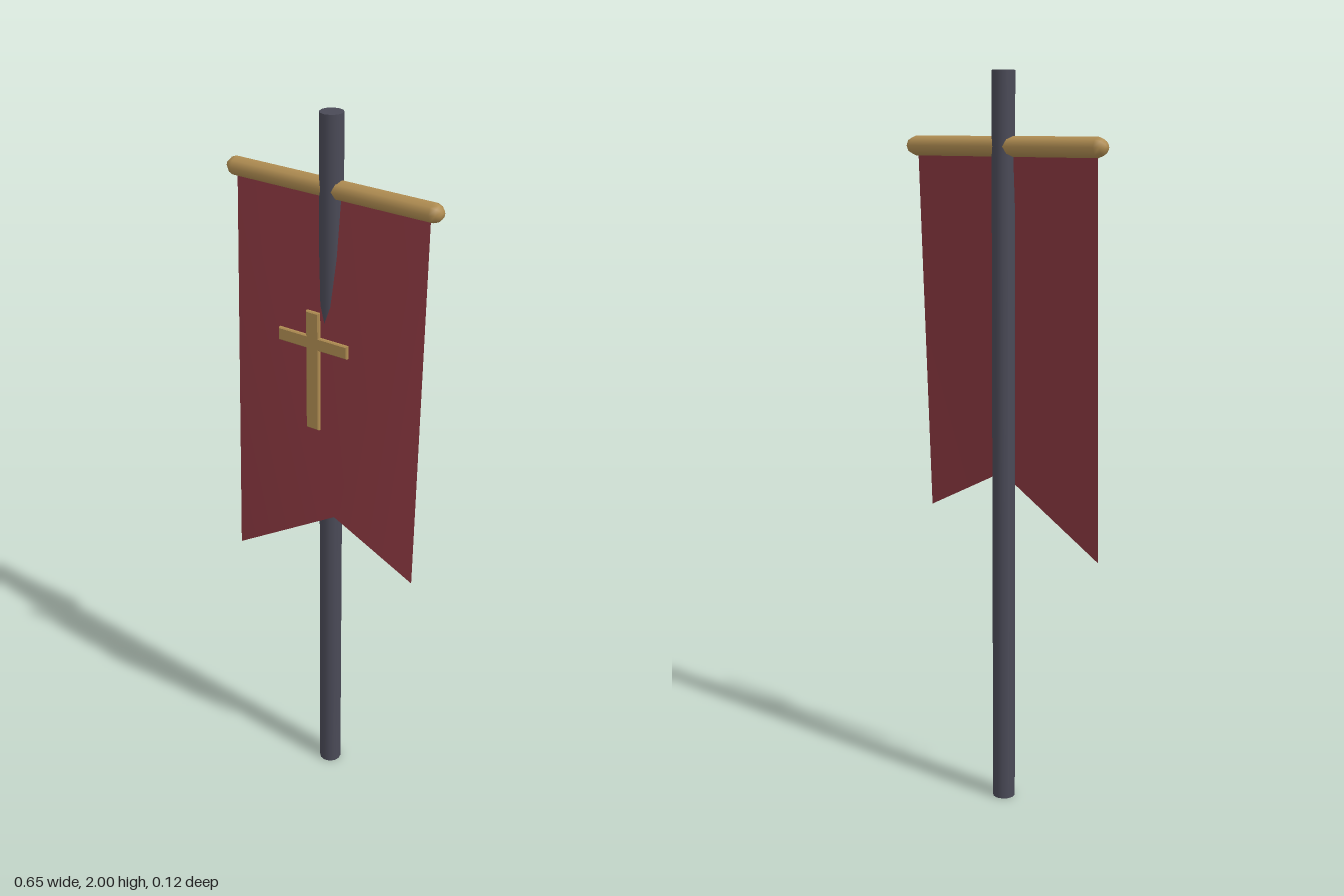
import * as THREE from 'three';

const POLE_Z = -0.028;

export function createModel() {
  const group = new THREE.Group();
  const iron = new THREE.MeshStandardMaterial({ color: 0x4a4a57 });
  iron.name = 'darkIron';
  const brass = new THREE.MeshStandardMaterial({ color: 0xb08d52 });
  brass.name = 'brass';
  const red = new THREE.MeshStandardMaterial({ color: 0x8a3840, side: THREE.DoubleSide });
  red.name = 'redCloth';

  const add = (name, geometry, material, x, y, z) => {
    const mesh = new THREE.Mesh(geometry, material);
    mesh.name = name;
    mesh.position.set(x, y, z);
    group.add(mesh);
    return mesh;
  };

  // Upright pole
  add('pole', new THREE.CylinderGeometry(0.031, 0.031, 2, 12), iron, 0, 1, POLE_Z);

  // Crossbar with rounded ends
  const profile = [
    [0, -0.323], [0.011, -0.322], [0.021, -0.312], [0.0265, -0.297],
    [0.0265, 0.297], [0.021, 0.312], [0.011, 0.322], [0, 0.323],
  ].map(([r, h]) => new THREE.Vector2(r, h));
  const bar = add('crossbar', new THREE.LatheGeometry(profile, 8), brass, 0, 1.807, POLE_Z);
  bar.rotation.z = Math.PI / 2;

  // Hanging cloth with an off-centre notch, sloping forward to the hem
  const cloth = new THREE.BufferGeometry();
  cloth.setAttribute('position', new THREE.Float32BufferAttribute([
    -0.295, 1.807, POLE_Z,
    0.29, 1.807, POLE_Z,
    -0.265, 0.712, 0.041,
    0.065, 0.915, 0.05,
    0.311, 0.79, 0.041,
  ], 3));
  cloth.setIndex([0, 2, 3, 0, 3, 1, 1, 3, 4]);
  cloth.computeVertexNormals();
  add('bannerCloth', cloth, red, 0, 0, 0);

  // Emblem: two thin bars with bevelled edges, 0.012 deep
  const bevelledBar = (w, h) => {
    const b = 0.003;
    const x = w / 2 - b, y = h / 2 - b;
    const shape = new THREE.Shape([
      new THREE.Vector2(-x, -y), new THREE.Vector2(x, -y),
      new THREE.Vector2(x, y), new THREE.Vector2(-x, y),
    ]);
    const geometry = new THREE.ExtrudeGeometry(shape, {
      depth: 0.006, bevelEnabled: true, bevelSize: b, bevelThickness: b, bevelSegments: 1,
    });
    return geometry.translate(0, 0, -0.003);
  };
  add('emblemUpright', bevelledBar(0.04, 0.335), brass, 0, 1.337, 0.052);
  add('emblemArm', bevelledBar(0.214, 0.036), brass, 0, 1.418, 0.052);

  return group;
}
